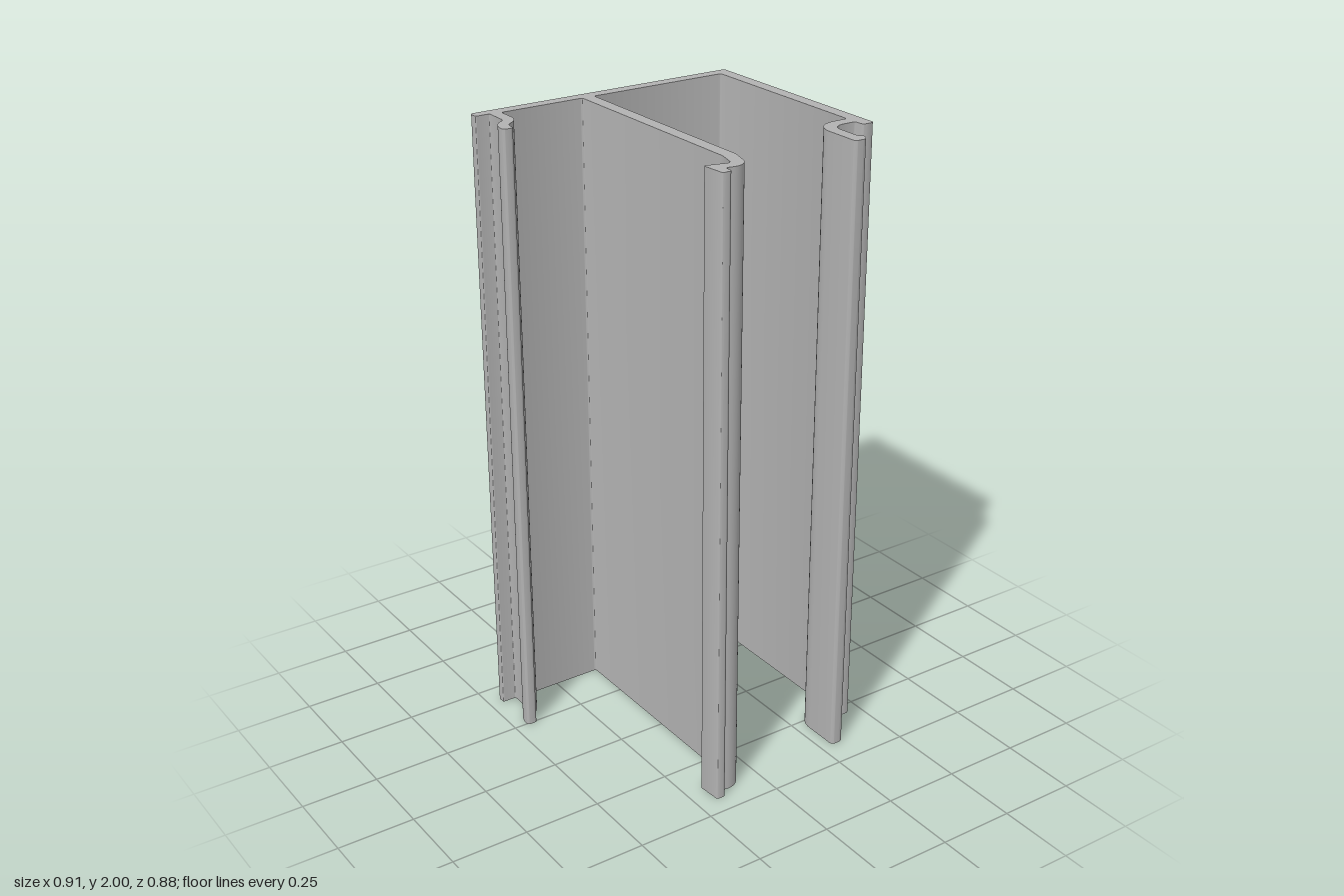
import * as THREE from 'three';
import { toCreasedNormals } from 'three/addons/utils/BufferGeometryUtils.js';

const HEIGHT = 2;

// Each section is a run of corners [x, z, rounding], where rounding is the
// distance from the corner at which its curve begins.
const rightFlange = [
  [-0.455, -0.442, 0.013], [0.455, -0.442, 0.008],
  [0.455, 0.293, 0.01], [0.414, 0.293, 0.012], [0.414, 0.258, 0.006],
];
const rightHook = [
  [0.33, 0.258, 0.036], [0.33, 0.369, 0.004], [0.343, 0.378, 0.006],
  [0.341, 0.391, 0.006], [0.33, 0.41, 0.01], [0.291, 0.41, 0.012],
  [0.291, 0.219, 0.073], [0.414, 0.219, 0.008], [0.414, -0.403, 0.008],
];
const webAndFoot = [
  [-0.053, -0.403, 0.008], [-0.053, 0.32, 0.008], [-0.083, 0.424, 0.05],
  [-0.151, 0.407, 0.008], [-0.151, 0.44, 0.01], [-0.183, 0.44, 0.008],
  [-0.19, 0.358, 0.009], [-0.111, 0.379, 0.014], [-0.094, 0.315, 0.008],
  [-0.094, -0.403, 0.008],
];
const leftHook = [
  [-0.371, -0.403, 0.008], [-0.371, -0.308, 0.038], [-0.421, -0.281, 0.016],
  [-0.421, -0.243, 0.01], [-0.456, -0.243, 0.01], [-0.456, -0.302, 0.042],
  [-0.408, -0.327, 0.012], [-0.408, -0.408, 0.003], [-0.455, -0.408, 0.005],
];

// Closed outline with a smooth curve at every corner
function roundedShape(corners) {
  const pts = corners.map(([x, z]) => new THREE.Vector2(x, -z));
  const shape = new THREE.Shape();
  const n = pts.length;
  pts.forEach((p, i) => {
    const toward = (q, d) => p.clone().add(q.clone().sub(p).setLength(d));
    const prev = pts[(i + n - 1) % n], next = pts[(i + 1) % n], r = corners[i][2];
    const a = toward(prev, r), b = toward(next, r);
    const c = toward(prev, r * 0.45), d = toward(next, r * 0.45);
    if (i === 0) shape.moveTo(a.x, a.y);
    else shape.lineTo(a.x, a.y);
    shape.bezierCurveTo(c.x, c.y, d.x, d.y, b.x, b.y);
  });
  shape.closePath();
  return shape;
}

export function createModel() {
  const group = new THREE.Group();
  group.name = 'framingProfile';
  const metal = new THREE.MeshStandardMaterial({ color: 0xb2b2b2 });
  metal.name = 'grey metal';

  // One constant cross-section, extruded upright
  const shape = roundedShape([...rightFlange, ...rightHook, ...webAndFoot, ...leftHook]);
  const geometry = new THREE.ExtrudeGeometry(shape, {
    depth: HEIGHT, bevelEnabled: false, curveSegments: 10,
  });
  geometry.rotateX(-Math.PI / 2);

  const profile = new THREE.Mesh(toCreasedNormals(geometry, Math.PI / 6), metal);
  profile.name = 'extrudedProfile';
  group.add(profile);
  return group;
}
